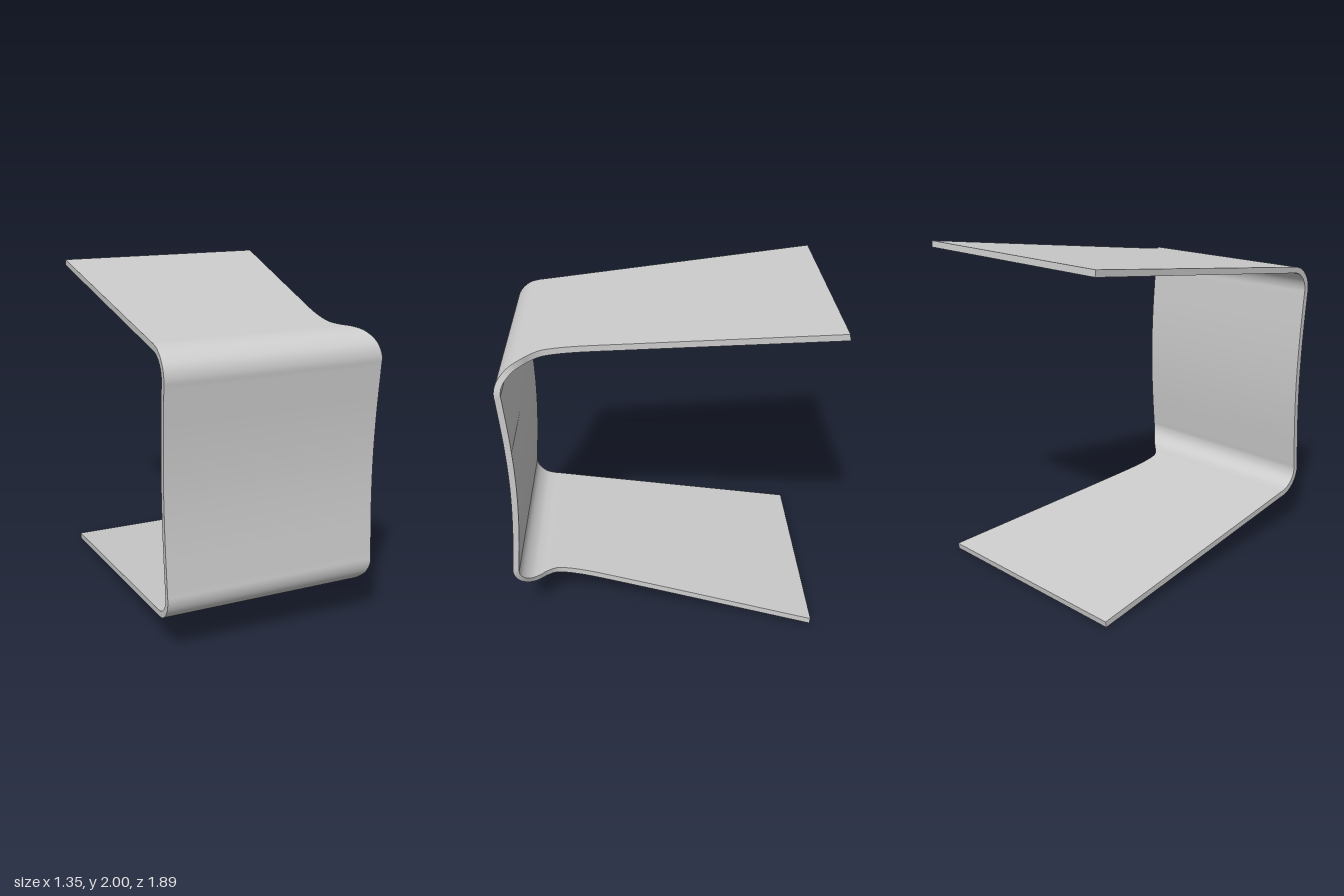
import * as THREE from 'three';

const LEFT_X = -0.675, HALF_THICK = 0.0185;

// Centre line of the bent sheet, from the top rear round to the bottom rear.
// Each point is (x of the right-hand cut edge, y, z).
function sheetPath() {
  const v = (x, y, z) => new THREE.Vector3(x, y, z);
  const cut = [[0.46, 0.2], [0.407, 0.49], [0.397, 0.58], [0.395, 0.64], [0.402, 0.7], [0.438, 0.755], [0.485, 0.8]];
  const bend = [[0.53, 1.752, 0.85], [0.565, 1.718, 0.892], [0.583, 1.68, 0.917], [0.594, 1.635, 0.928],
    [0.595, 1.58, 0.924], [0.595, 1.3, 0.902]];
  const flange = (endY, endZ) => [
    v(0.675, endY, endZ),
    ...cut.map(([x, z]) => v(x, THREE.MathUtils.lerp(endY, 1.768, (z - endZ) / (0.8 - endZ)), z)),
    ...bend.map((p) => v(...p)),
  ];
  const top = flange(1.982, -0.942);
  const bottom = flange(2.01, -0.892).map((p) => v(p.x, 2.03 - p.y, p.z)).reverse();
  return new THREE.CatmullRomCurve3([...top, v(0.595, 1.015, 0.893), ...bottom]);
}

// Surface between two matching rows of points
function strip(a, b, name, material) {
  const pos = [], index = [];
  a.forEach((p, i) => {
    pos.push(...p.toArray(), ...b[i].toArray());
    if (i) {
      const k = 2 * i - 2;
      index.push(k, k + 1, k + 3, k, k + 3, k + 2);
    }
  });
  const g = new THREE.BufferGeometry();
  g.setAttribute('position', new THREE.Float32BufferAttribute(pos, 3));
  g.setIndex(index);
  g.computeVertexNormals();
  const mesh = new THREE.Mesh(g, material);
  mesh.name = name;
  return mesh;
}

export function createModel() {
  const group = new THREE.Group();
  group.name = 'bentSheet';
  const material = new THREE.MeshStandardMaterial({ color: 0xcccccc, side: THREE.DoubleSide });

  // Four edge rows: outer/inner face, left/right side
  const path = sheetPath();
  const outL = [], outR = [], inL = [], inR = [];
  const n = (path.points.length - 1) * 6;
  for (let i = 0; i <= n; i++) {
    const p = path.getPoint(i / n), t = path.getTangent(i / n);
    const len = Math.hypot(t.y, t.z);
    const dy = (t.z / len) * HALF_THICK, dz = (-t.y / len) * HALF_THICK;
    outL.push(new THREE.Vector3(LEFT_X, p.y + dy, p.z + dz));
    outR.push(new THREE.Vector3(p.x, p.y + dy, p.z + dz));
    inL.push(new THREE.Vector3(LEFT_X, p.y - dy, p.z - dz));
    inR.push(new THREE.Vector3(p.x, p.y - dy, p.z - dz));
  }

  group.add(
    strip(outR, outL, 'outerFace', material),
    strip(inL, inR, 'innerFace', material),
    strip(inR, outR, 'notchedEdge', material),
    strip(outL, inL, 'straightEdge', material),
    strip([inL[0], inR[0]], [outL[0], outR[0]], 'topFlangeEnd', material),
    strip([outL[n], outR[n]], [inL[n], inR[n]], 'bottomFlangeEnd', material),
  );
  return group;
}
